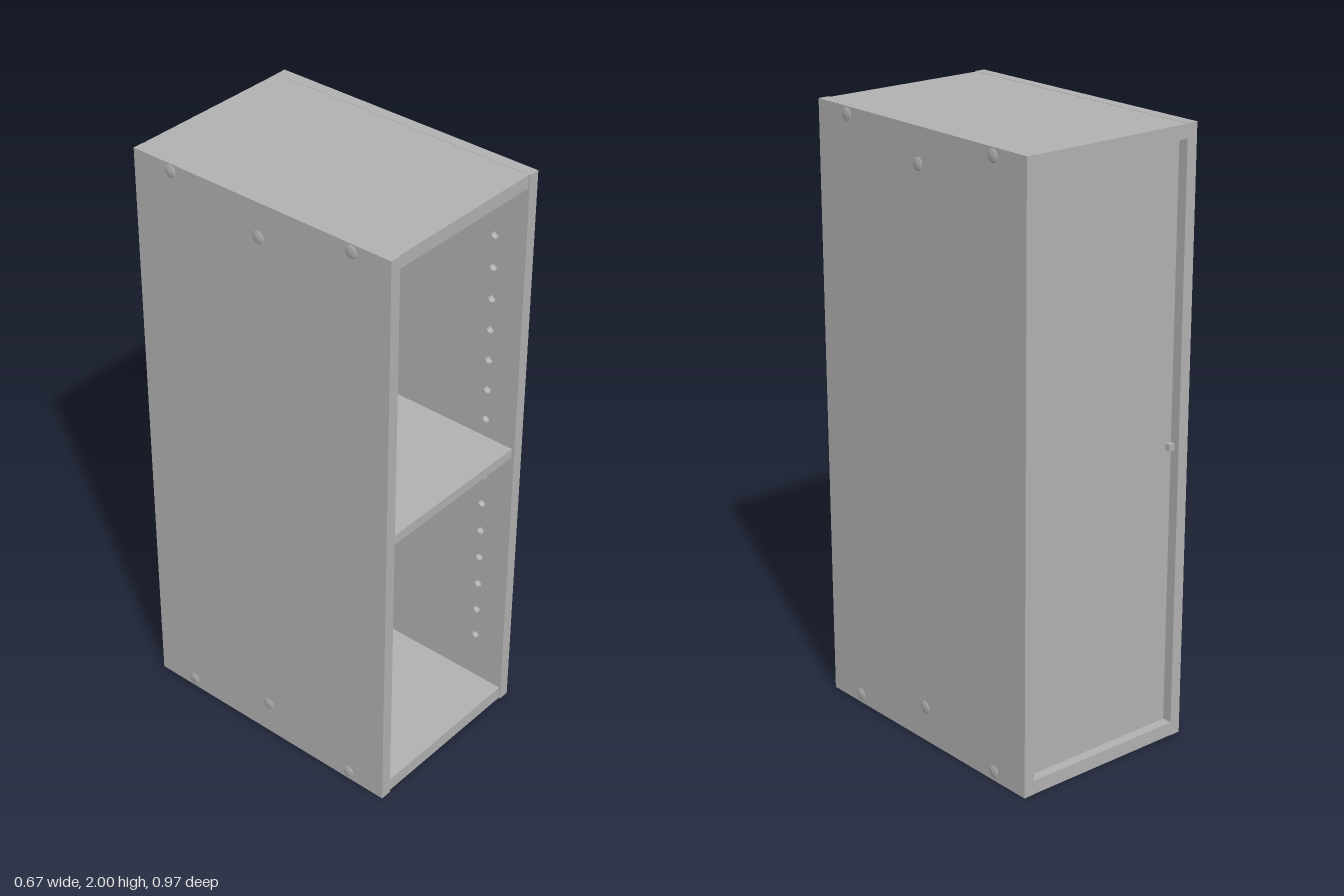
import * as THREE from 'three';

export function createModel() {
  const group = new THREE.Group();
  group.name = 'shelfCabinet';
  const panelGrey = new THREE.MeshStandardMaterial({ color: 0xb2b2b2 });
  panelGrey.name = 'panelGrey';

  const add = (name, geometry, x, y, z) => {
    const mesh = new THREE.Mesh(geometry, panelGrey);
    mesh.name = name;
    mesh.position.set(x, y, z);
    group.add(mesh);
    return mesh;
  };
  // Box given by its limits on each axis
  const box = (name, x0, x1, y0, y1, z0, z1) =>
    add(name, new THREE.BoxGeometry(x1 - x0, y1 - y0, z1 - z0),
      (x0 + x1) / 2, (y0 + y1) / 2, (z0 + z1) / 2);

  const inner = 0.29, outer = 0.328, depth = 0.484, holeDepth = 0.02;

  // Inner layer of a side panel, drilled with two columns of peg holes
  const drilled = new THREE.Shape();
  drilled.moveTo(-depth, 0);
  drilled.lineTo(depth, 0);
  drilled.lineTo(depth, 2);
  drilled.lineTo(-depth, 2);
  drilled.closePath();
  for (const z of [-0.36, 0.37]) {
    for (let i = 0; i < 15; i++) {
      const hole = new THREE.Path();
      hole.absarc(z, 0.22 + i * 0.11, 0.013, 0, Math.PI * 2, true);
      drilled.holes.push(hole);
    }
  }
  const drilledGeometry = new THREE.ExtrudeGeometry(drilled, {
    depth: holeDepth, bevelEnabled: false, curveSegments: 10,
  });
  drilledGeometry.rotateY(-Math.PI / 2); // shape x becomes z, thickness runs to -x

  // Shallow domed screw head, axis along +y
  const head = new THREE.LatheGeometry([
    new THREE.Vector2(0.022, 0), new THREE.Vector2(0.02, 0.002),
    new THREE.Vector2(0.012, 0.004), new THREE.Vector2(0, 0.005),
  ], 20);

  for (const side of [-1, 1]) {
    const label = side > 0 ? 'left' : 'right';
    const span = (a, b) => (side > 0 ? [a, b] : [-b, -a]);

    // Side panel: solid outside, drilled inside
    box(label + 'SidePanel', ...span(inner + holeDepth, outer), 0, 2, -depth, depth);
    add(label + 'DrilledLining', drilledGeometry, side > 0 ? inner + holeDepth : -inner, 0, 0);

    // Screw heads holding the top and bottom
    for (const [y, z] of [[1.975, 0.342], [1.975, -0.338], [1.887, 0],
      [0.03, 0.342], [0.03, -0.338], [0.118, 0]]) {
      add(label + 'ScrewHead', head, side * (outer - 0.0005), y, z).rotation.z = -side * Math.PI / 2;
    }

    // Shelf supports: a pad under the shelf with a plate against the wall
    for (const z of [-0.36, 0.37]) {
      box(label + 'ShelfSupportPad', ...span(0.265, inner), 0.99, 1.0, z - 0.014, z + 0.014);
      box(label + 'ShelfSupportPlate', ...span(0.28, inner), 0.977, 0.99, z - 0.014, z + 0.014);
    }
    // Clips that hold the back panel
    box(label + 'BackClip', ...span(0.268, inner), 0.977, 1.0, -0.466, -0.448);
  }

  // Top, bottom, shelf and recessed back
  box('topPanel', -inner, inner, 1.955, 1.999, -depth, 0.479);
  box('bottomPanel', -inner, inner, 0.001, 0.047, -depth, 0.479);
  box('shelf', -inner, inner, 1.0, 1.034, -0.435, 0.475);
  box('backPanel', -inner, inner, 0.047, 1.955, -0.45, -0.435);

  return group;
}
